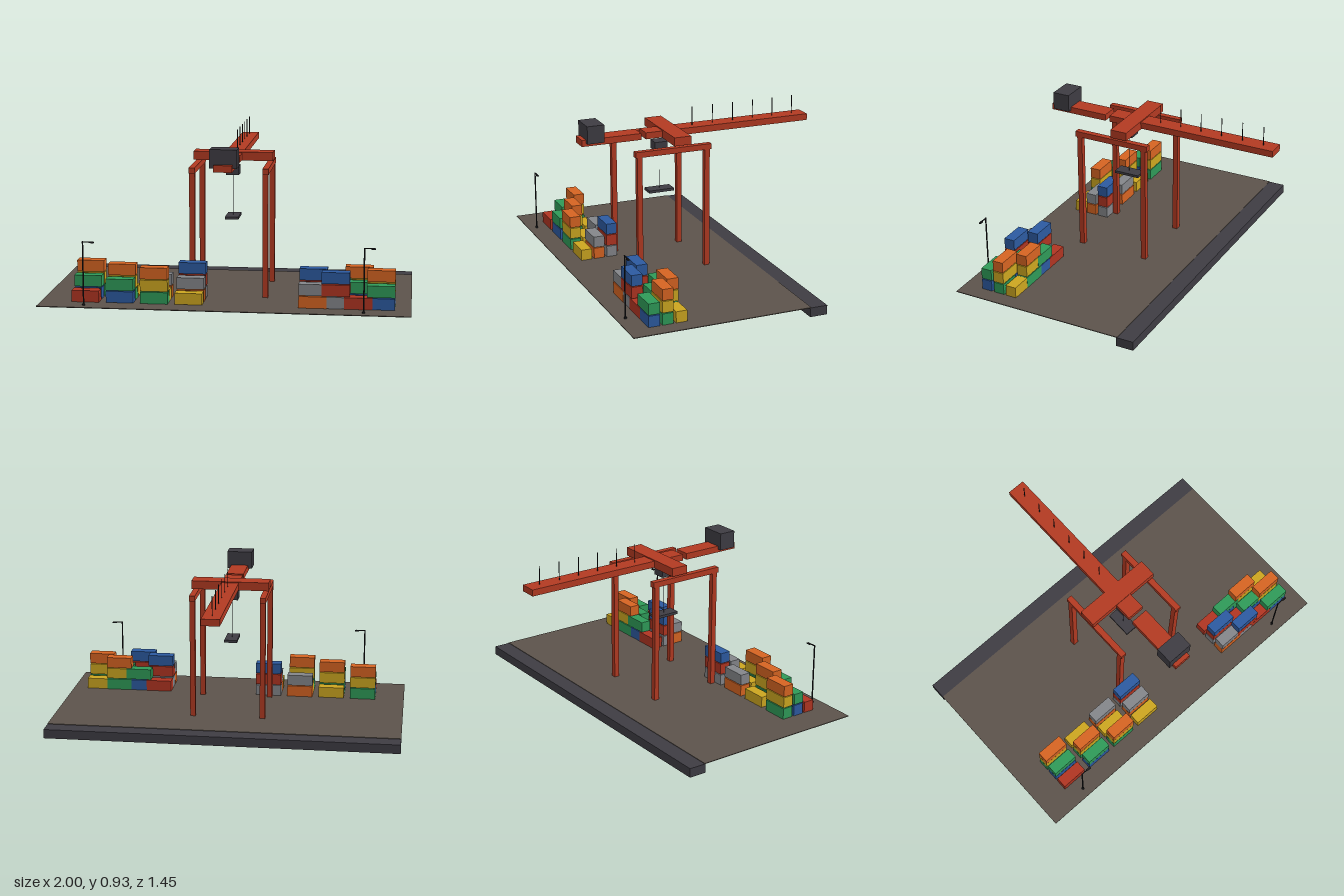
import * as THREE from 'three';

const mat = (name, color) => {
  const m = new THREE.MeshStandardMaterial({ color });
  m.name = name;
  return m;
};

export function createModel() {
  const model = new THREE.Group();
  model.name = 'containerTerminal';

  const craneRed = mat('craneRed', 0xb23a22);
  const slate = mat('slate', 0x3e3c43);
  const asphalt = mat('asphalt', 0x5c534b);
  const black = mat('black', 0x1f1f22);
  const paints = [
    mat('containerRed', 0xb03522),
    mat('containerBlue', 0x2c5aa0),
    mat('containerGreen', 0x2f9a58),
    mat('containerYellow', 0xcca620),
    mat('containerOrange', 0xd66422),
    mat('containerGrey', 0x84868a),
  ];

  // Box given by its extents on each axis
  const box = (parent, name, m, [x0, x1], [y0, y1], [z0, z1]) => {
    const mesh = new THREE.Mesh(new THREE.BoxGeometry(x1 - x0, y1 - y0, z1 - z0), m);
    mesh.position.set((x0 + x1) / 2, (y0 + y1) / 2, (z0 + z1) / 2);
    mesh.name = name;
    parent.add(mesh);
    return mesh;
  };
  // Upright round rod
  const rod = (parent, name, m, r, x, z, y0, y1) => {
    const mesh = new THREE.Mesh(new THREE.CylinderGeometry(r, r, y1 - y0, 8), m);
    mesh.position.set(x, (y0 + y1) / 2, z);
    mesh.name = name;
    parent.add(mesh);
    return mesh;
  };
  const group = (name) => {
    const g = new THREE.Group();
    g.name = name;
    model.add(g);
    return g;
  };

  // Yard and quay edge
  const ground = 0.055;
  box(model, 'yard', asphalt, [-1, 1], [0.051, ground], [-0.28, 0.725]);
  box(model, 'quayWall', slate, [-1, 1], [0, 0.052], [-0.375, -0.275]);

  // Crane portal
  const crane = group('crane');
  for (const s of [-1, 1]) {
    const x = s * 0.201;
    for (const z of [-0.023, 0.377]) {
      box(crane, 'leg', craneRed, [x - 0.015, x + 0.015], [ground, 0.737], [z - 0.015, z + 0.015]);
    }
    box(crane, 'sideBeam', craneRed, [x - 0.0165, x + 0.0165], [0.737, 0.769], [-0.048, 0.401]);
  }
  box(crane, 'crossBeam', craneRed, [-0.222, 0.222], [0.78, 0.828], [0.076, 0.175]);

  // Boom, counter boom and machine house
  box(crane, 'boom', craneRed, [-0.05, 0.05], [0.785, 0.822], [-0.725, 0.275]);
  box(crane, 'counterBoom', craneRed, [-0.05, 0.05], [0.785, 0.822], [0.302, 0.65]);
  box(crane, 'machineHouse', slate, [-0.074, 0.074], [0.803, 0.903], [0.527, 0.626]);
  for (let i = 0; i < 6; i++) {
    rod(crane, 'boomMast', black, 0.0025, 0, -0.024 - i * 0.125, 0.822, 0.928);
  }

  // Trolley, hoist rope and spreader
  box(crane, 'trolley', slate, [-0.037, 0.037], [0.705, 0.755], [0.14, 0.215]);
  rod(crane, 'hoistRope', slate, 0.0012, 0, 0.178, 0.472, 0.71);
  box(crane, 'spreader', slate, [-0.037, 0.037], [0.46, 0.475], [0.103, 0.252]);

  // Container stacks: i along x, j from front to back, k upward
  const columns = [-0.755, -0.567, -0.38, -0.192, 0.475, 0.598, 0.718, 0.838];
  const stacks = group('containers');
  columns.forEach((x, i) => {
    for (let j = 0; j < 3; j++) {
      const z = 0.579 - j * 0.0765;
      for (let k = 0; k <= (i + j) % 3; k++) {
        // Alternate sizes a hair so overlapping neighbours stay clean
        const g = (i + k) % 2 ? 0 : 0.0006;
        const y = 0.0885 + k * 0.0675;
        box(stacks, 'container', paints[(i + j + k) % 6],
          [x - 0.075, x + 0.075],
          [y - 0.031 - g, y + 0.031 + g],
          [z - 0.031 - g, z + 0.031 + g]);
      }
    }
  });

  // Yard lamps
  for (const x of [-0.75, 0.75]) {
    const lamp = group('yardLamp');
    rod(lamp, 'lampFoot', black, 0.008, x, 0.675, ground, 0.064);
    rod(lamp, 'lampPole', black, 0.004, x, 0.675, ground, 0.405);
    box(lamp, 'lampArm', black, [x, x + 0.055], [0.4, 0.405], [0.6725, 0.6775]);
    box(lamp, 'lampHead', black, [x + 0.035, x + 0.06], [0.397, 0.403], [0.669, 0.681]);
  }

  return model;
}
